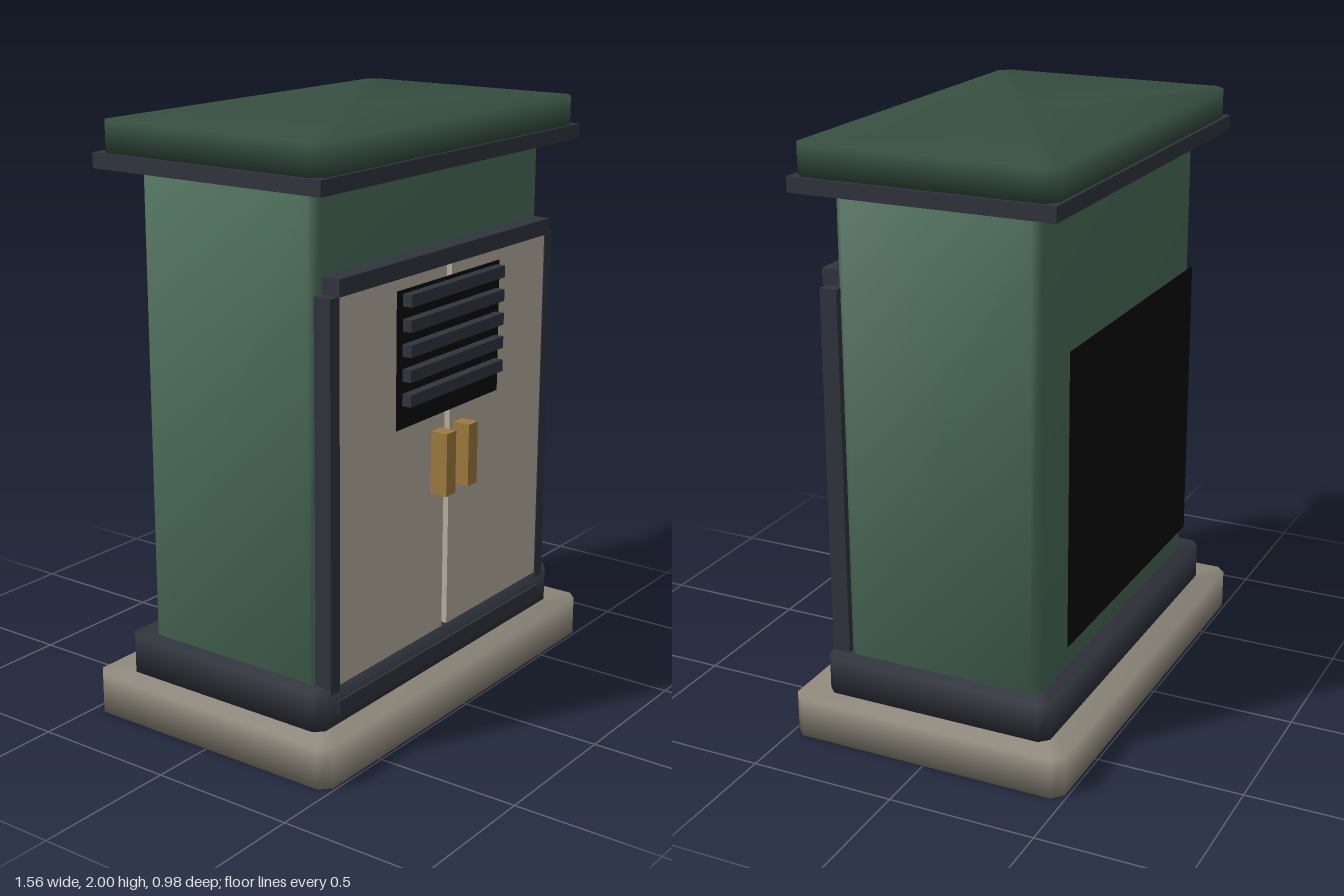
import * as THREE from 'three';
import { mergeVertices } from 'three/addons/utils/BufferGeometryUtils.js';

const paint = (color) => new THREE.MeshStandardMaterial({ color });

export function createModel() {
  const model = new THREE.Group();
  const green = paint(0x4a6b57), roofGreen = paint(0x364f40), dark = paint(0x30343c);
  const cream = paint(0xb9b09f), stone = paint(0x8f897c), brass = paint(0x9c7a3c), black = paint(0x080808);

  const add = (name, geometry, material, x, y, z) => {
    const mesh = new THREE.Mesh(geometry, material);
    mesh.name = name;
    mesh.position.set(x, y, z);
    model.add(mesh);
    return mesh;
  };

  // Box given by its limits on each axis
  const box = (name, material, x0, x1, y0, y1, z0, z1) =>
    add(name, new THREE.BoxGeometry(x1 - x0, y1 - y0, z1 - z0), material,
      (x0 + x1) / 2, (y0 + y1) / 2, (z0 + z1) / 2);

  // Smooth-shaded slab with cut vertical corners: an eight-sided drum pulled into a rectangle
  const slab = (name, material, hx, y0, y1, hz, cut) => {
    let g = new THREE.CylinderGeometry(1, 1, y1 - y0, 8, 1, false, Math.PI / 8);
    const p = g.attributes.position;
    for (let i = 0; i < p.count; i++) {
      const x = p.getX(i), z = p.getZ(i);
      if (Math.hypot(x, z) < 0.1) continue;
      const side = Math.abs(x) > Math.abs(z);
      p.setX(i, Math.sign(x) * (hx - (side ? 0 : cut)));
      p.setZ(i, Math.sign(z) * (hz - (side ? cut : 0)));
    }
    g.deleteAttribute('uv');
    g.deleteAttribute('normal');
    g = mergeVertices(g, 1e-4);
    g.computeVertexNormals();
    return add(name, g, material, 0, (y0 + y1) / 2, 0);
  };

  // Base, cabinet and roof
  slab('plinth', stone, 0.78, 0, 0.14, 0.49, 0.035);
  slab('skirt', dark, 0.70, 0.14, 0.27, 0.405, 0.03);
  slab('cabinetBody', green, 0.643, 0.27, 1.85, 0.35, 0.03);
  box('eave', dark, -0.74, 0.74, 1.85, 1.90, -0.447, 0.447);
  slab('roof', roofGreen, 0.728, 1.90, 2.0, 0.435, 0.035);

  // Door frame
  box('frameHeader', dark, -0.608, 0.608, 1.53, 1.585, 0.345, 0.415);
  box('frameSill', dark, -0.608, 0.608, 0.175, 0.22, 0.345, 0.413);

  // Parts on both sides of the middle gap
  for (const s of [-1, 1]) {
    const pair = (name, mat, a, b, ...rest) =>
      box(name, mat, Math.min(s * a, s * b), Math.max(s * a, s * b), ...rest);
    const label = s > 0 ? 'left' : 'right';
    pair(label + 'FrameRail', dark, 0.595, 0.642, 0.25, 1.53, 0.345, 0.406);
    pair(label + 'Door', cream, 0.015, 0.595, 0.25, 1.53, 0.345, 0.403);
    pair(label + 'Handle', brass, 0.038, 0.092, 0.77, 0.985, 0.403, 0.465);
  }

  // Front vent with louvres
  add('ventBacking', new THREE.PlaneGeometry(0.6, 0.455), black, 0, 1.263, 0.407);
  for (let i = 0; i < 5; i++) {
    const y = 1.135 + i * 0.081;
    box('louvre', dark, -0.273, 0.273, y - 0.02, y + 0.02, 0.412, 0.445);
  }

  // Rear panel, standing slightly off the back wall
  add('rearPanel', new THREE.PlaneGeometry(1.06, 1.0), black, 0, 0.9, -0.4).rotation.y = Math.PI;

  return model;
}
